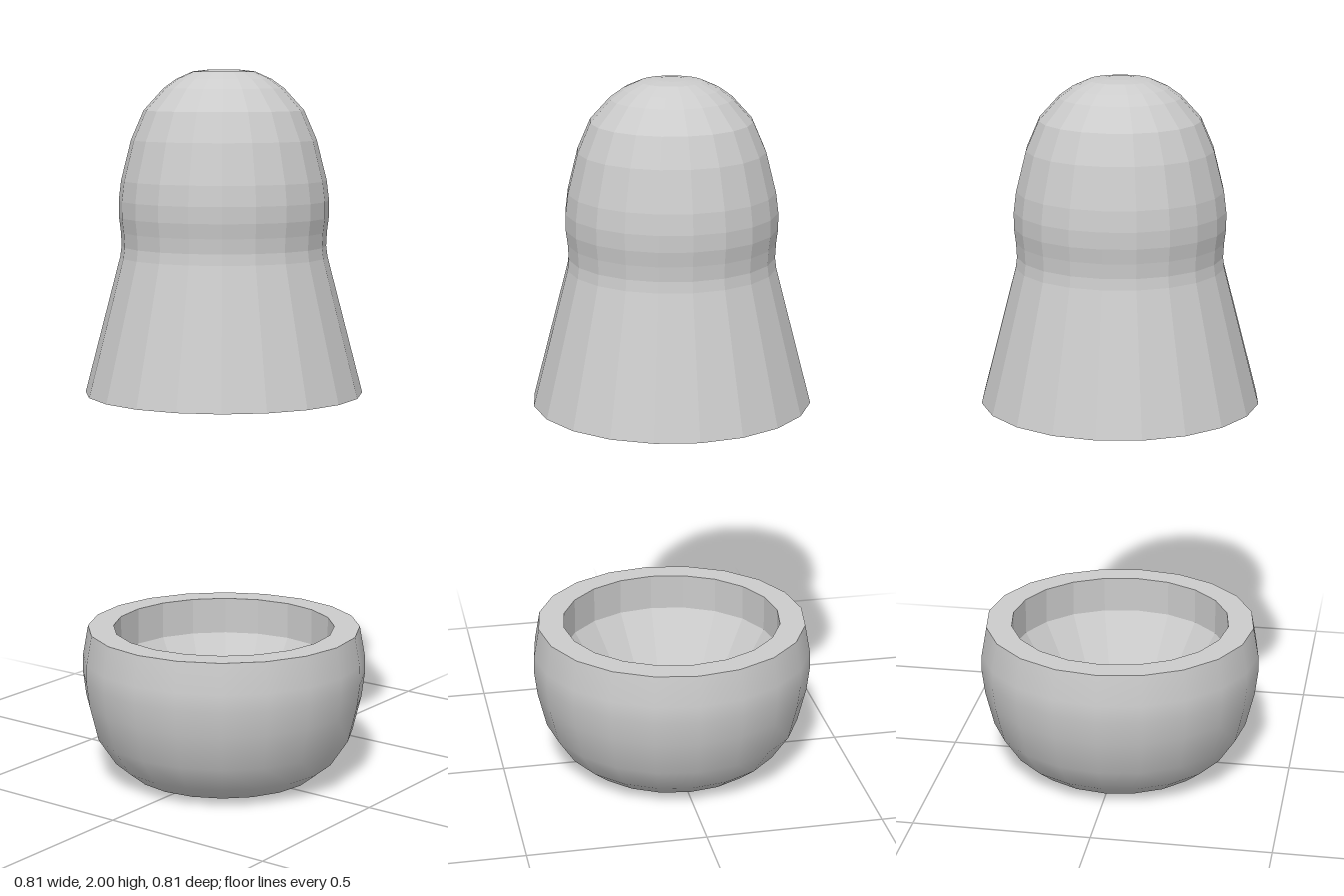
import * as THREE from 'three';

const SIDES = 20;

// Turned shape from [radius, height] pairs; the outside is listed bottom to top.
function turned(name, profile, flatShading) {
  const points = profile.map(([r, y]) => new THREE.Vector2(r, y));
  const material = new THREE.MeshStandardMaterial({ color: 0xcccccc, flatShading });
  const mesh = new THREE.Mesh(new THREE.LatheGeometry(points, SIDES), material);
  mesh.name = name;
  return mesh;
}

export function createModel() {
  const model = new THREE.Group();
  model.name = 'nestingDoll';

  // Upper half: hollow socket, rim, flared body, waist and domed head
  model.add(turned('upperHalf', [
    [0, 1.34], [0.3, 1.34], [0.315, 1.225], [0.315, 1.11],
    [0.387, 1.11], [0.287, 1.49], [0.283, 1.52], [0.285, 1.56],
    [0.29, 1.6], [0.29, 1.645], [0.283, 1.7], [0.255, 1.81],
    [0.22, 1.89], [0.165, 1.95], [0.13, 1.975], [0.085, 1.995],
    [0.04, 2], [0, 2],
  ], true));

  // Lower half: smooth rounded outside
  const bowl = new THREE.Group();
  bowl.name = 'lowerHalf';
  bowl.add(turned('bowlOutside', [
    [0, 0], [0.21, 0], [0.27, 0.015], [0.32, 0.055], [0.37, 0.13],
    [0.395, 0.23], [0.404, 0.3], [0.403, 0.35], [0.388, 0.435],
  ], false));

  // Faceted rim, straight inner wall and tapering hollow
  bowl.add(turned('bowlInside', [
    [0.388, 0.435], [0.315, 0.435], [0.315, 0.33], [0.17, 0.1], [0, 0.1],
  ], true));
  model.add(bowl);

  return model;
}
